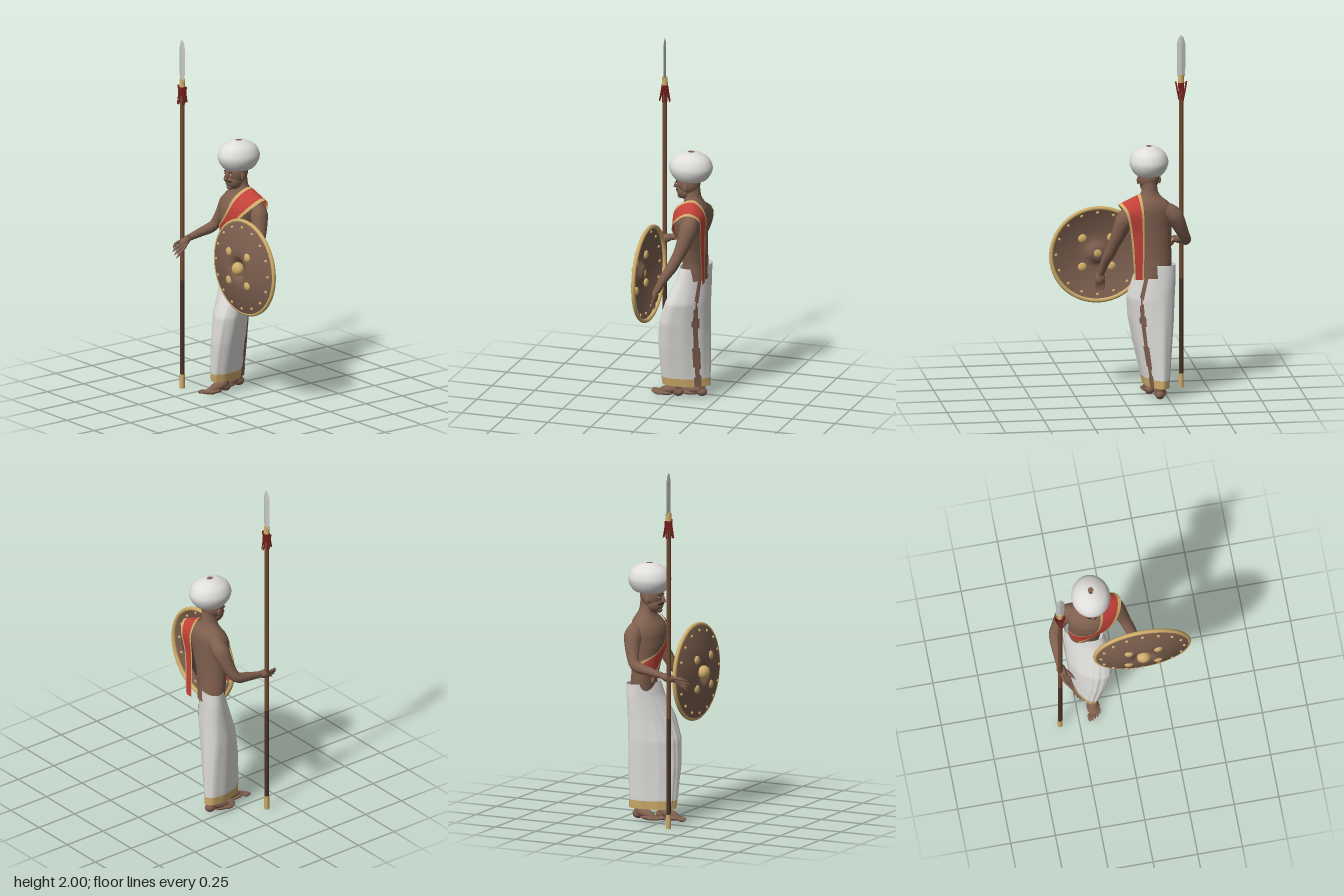
import * as THREE from 'three';

const V = (x, y, z) => new THREE.Vector3(x, y, z);
const mat = (name, color, side = THREE.FrontSide) => {
  const m = new THREE.MeshStandardMaterial({ color, side });
  m.name = name;
  return m;
};

// Elliptical cross-sections: [y, centre x, centre z, radius x, radius z]
const TORSO = [
  [0.70, -0.175, -0.13, 0.088, 0.066], [0.80, -0.175, -0.125, 0.092, 0.068], [0.88, -0.165, -0.118, 0.1, 0.076],
  [0.98, -0.15, -0.11, 0.12, 0.088], [1.05, -0.142, -0.113, 0.134, 0.09], [1.09, -0.14, -0.12, 0.13, 0.084],
  [1.12, -0.14, -0.127, 0.108, 0.07], [1.145, -0.143, -0.128, 0.072, 0.055], [1.17, -0.146, -0.122, 0.048, 0.046],
  [1.20, -0.146, -0.118, 0.042, 0.045], [1.26, -0.146, -0.112, 0.042, 0.045]];
const SKIRT = [
  [0.07, -0.187, -0.07, 0.066, 0.127], [0.13, -0.184, -0.067, 0.075, 0.131], [0.30, -0.17, -0.065, 0.1, 0.135],
  [0.45, -0.16, -0.07, 0.12, 0.13], [0.57, -0.155, -0.09, 0.127, 0.11], [0.70, -0.174, -0.118, 0.112, 0.083],
  [0.772, -0.18, -0.128, 0.104, 0.073]];

// Cross-section at a given height
function sectionAt(rows, y) {
  let i = 0;
  while (i < rows.length - 2 && y > rows[i + 1][0]) i++;
  const t = THREE.MathUtils.clamp((y - rows[i][0]) / (rows[i + 1][0] - rows[i][0]), 0, 1);
  return rows[i].map((v, k) => v + (rows[i + 1][k] - v) * t);
}

// Skin of stacked sections; lean slants the ellipse, pick chooses the material slot, ripple scales the radius
function loft(rows, levels, seg, lean = 0, pick = () => 0, ripple = () => 1, slots = 1) {
  const pos = [], lists = Array.from({ length: slots }, () => []);
  const y0 = rows[0][0], h = rows[rows.length - 1][0] - y0;
  for (let i = 0; i <= levels; i++) {
    const y = y0 + h * i / levels, [, cx, cz, rx, rz] = sectionAt(rows, y);
    for (let j = 0; j < seg; j++) {
      const a = j / seg * Math.PI * 2, r = ripple(a, y);
      pos.push(cx + Math.cos(a) * rx * r, y, cz + Math.sin(a + lean) * rz * r);
      if (i === levels) continue;
      const p = i * seg + j, q = i * seg + (j + 1) % seg;
      lists[pick((j + 0.5) / seg * Math.PI * 2, y + h * 0.5 / levels)].push(p, p + seg, q, p + seg, q + seg, q);
    }
  }
  const g = new THREE.BufferGeometry();
  g.setAttribute('position', new THREE.Float32BufferAttribute(pos, 3));
  g.setIndex(lists.flat());
  let start = 0;
  lists.forEach((l, k) => { g.addGroup(start, l.length, k); start += l.length; });
  g.computeVertexNormals();
  return g;
}

// Tube whose radius follows a list of values
function limb(points, radii, seg = 24, sides = 14) {
  const curve = new THREE.CatmullRomCurve3(points.map(p => V(...p)));
  const g = new THREE.TubeGeometry(curve, seg, 1, sides), a = g.attributes.position;
  for (let k = 0; k < a.count; k++) {
    const t = Math.floor(k / (sides + 1)) / seg, c = curve.getPointAt(t);
    const f = t * (radii.length - 1), i = Math.min(Math.floor(f), radii.length - 2);
    const p = V().fromBufferAttribute(a, k).sub(c).multiplyScalar(THREE.MathUtils.lerp(radii[i], radii[i + 1], f - i)).add(c);
    a.setXYZ(k, p.x, p.y, p.z);
  }
  g.computeVertexNormals();
  return g;
}

const profile = points => points.map(p => new THREE.Vector2(...p));

export function createModel() {
  const root = new THREE.Group();
  root.name = 'spearman';
  const D = THREE.DoubleSide;
  const skin = mat('skin', 0x80604f, D), white = mat('white cloth', 0xdfdedb, D), red = mat('red cloth', 0xc4423a, D);
  const gold = mat('gold', 0xcfad6a, D), leather = mat('shield leather', 0x7c5f4f, D), steel = mat('steel', 0xc6c8c4);
  const wood = mat('shaft wood', 0x724b33), darkWood = mat('dark shaft wood', 0x4a3428);
  const hair = mat('dark hair', 0x2c1c15), tassel = mat('tassel', 0x7d211d);

  const add = (name, geo, material, parent = root) => {
    const m = new THREE.Mesh(geo, material);
    m.name = name;
    parent.add(m);
    return m;
  };
  const group = name => { const g = new THREE.Group(); g.name = name; root.add(g); return g; };
  const ball = (name, material, p, s, parent = root, rot = [0, 0, 0]) => {
    const m = add(name, new THREE.SphereGeometry(1, 24, 16), material, parent);
    m.position.set(...p); m.scale.set(...s); m.rotation.set(...rot);
    return m;
  };
  const rod = (name, material, y0, y1, r0, r1, parent) => {
    const m = add(name, new THREE.CylinderGeometry(r1, r0, y1 - y0, 16), material, parent);
    m.position.y = (y0 + y1) / 2;
    return m;
  };

  // Spear
  const spear = group('spear');
  spear.position.set(-0.357, 0, 0.117);
  rod('ferrule', gold, 0, 0.08, 0.014, 0.014, spear);
  rod('lowerShaft', darkWood, 0.08, 0.62, 0.0125, 0.0125, spear);
  rod('upperShaft', wood, 0.62, 1.74, 0.0125, 0.0125, spear);
  rod('collar', gold, 1.73, 1.775, 0.017, 0.015, spear);
  const bladeGeo = new THREE.LatheGeometry(profile([[0.001, 1.76], [0.021, 1.762], [0.024, 1.83], [0.024, 1.95], [0.014, 1.985], [0.0005, 2]]), 4)
    .scale(1, 1, 0.3).toNonIndexed();
  bladeGeo.computeVertexNormals();
  add('blade', bladeGeo, steel, spear);
  rod('tasselKnot', tassel, 1.68, 1.73, 0.015, 0.018, spear);
  for (const s of [-1, 1]) for (const k of [-1, 1]) {
    add('tasselStrand', limb([[s * 0.03, 1.735, k * 0.005], [s * 0.02, 1.68, k * 0.007], [s * 0.011, 1.63, k * 0.008]], [0.004, 0.004, 0.003], 6, 6), tassel, spear);
    add('tasselStrand', limb([[k * 0.008, 1.73, s * 0.012], [k * 0.007, 1.68, s * 0.02], [k * 0.005, 1.635, s * 0.03]], [0.004, 0.004, 0.003], 6, 6), tassel, spear);
  }

  // Shield
  const shield = group('shield');
  shield.position.set(0.115, 0.79, 0);
  add('shieldBowl', new THREE.LatheGeometry(profile([[0.0005, 0.066], [0.03, 0.067], [0.045, 0.076], [0.06, 0.09], [0.08, 0.097], [0.12, 0.093],
    [0.18, 0.079], [0.26, 0.055], [0.262, 0.045]]), 64).rotateX(Math.PI / 2), leather, shield);
  add('shieldRim', new THREE.TorusGeometry(0.262, 0.0115, 12, 72), gold, shield).position.z = 0.045;
  ball('centreBoss', gold, [0, 0, 0.093], [0.038, 0.038, 0.032], shield);
  for (const x of [-1, 1]) for (const y of [-1, 1]) ball('boss', gold, [x * 0.081, y * 0.081, 0.091], [0.025, 0.025, 0.014], shield);
  for (let i = 0; i < 16; i++) {
    const a = i / 16 * Math.PI * 2;
    ball('rivet', gold, [Math.cos(a) * 0.232, Math.sin(a) * 0.232, 0.064], [0.009, 0.009, 0.008], shield);
  }

  // Body
  add('torso', loft(TORSO, 40, 40), skin);

  // Arms
  add('rightArm', limb([[-0.225, 1.085, -0.145], [-0.272, 1.05, -0.145], [-0.32, 0.96, -0.125], [-0.35, 0.895, -0.092], [-0.355, 0.872, -0.01], [-0.353, 0.855, 0.075]],
    [0.04, 0.05, 0.04, 0.031, 0.029, 0.023, 0.018]), skin);
  add('leftArm', limb([[-0.055, 1.085, -0.145], [-0.016, 1.05, -0.146], [0.028, 0.94, -0.122], [0.066, 0.83, -0.075], [0.09, 0.76, -0.032], [0.108, 0.69, 0.002]],
    [0.04, 0.051, 0.042, 0.033, 0.031, 0.025, 0.019]), skin);
  const rightHand = group('rightHand'), leftHand = group('leftHand');
  ball('palm', skin, [-0.346, 0.845, 0.107], [0.026, 0.024, 0.042], rightHand, [0.3, 0.3, 0]);
  for (let i = 0; i < 4; i++) add('finger', limb([[-0.352 + i * 0.012, 0.85 - i * 0.008, 0.125], [-0.34 + i * 0.012, 0.842 - i * 0.016, 0.175],
    [-0.31 + i * 0.004, 0.83 - i * 0.019, 0.225 - Math.abs(i - 1) * 0.01]], [0.009, 0.0085, 0.008, 0.001], 10, 8), skin, rightHand);
  add('thumb', limb([[-0.34, 0.845, 0.09], [-0.308, 0.835, 0.13], [-0.278, 0.82, 0.165]], [0.011, 0.01, 0.009, 0.001], 10, 8), skin, rightHand);
  ball('palm', skin, [0.11, 0.665, 0.01], [0.027, 0.038, 0.016], leftHand);
  for (let i = 0; i < 4; i++) add('finger', limb([[0.09 + i * 0.013, 0.65, 0.013], [0.09 + i * 0.013, 0.615, 0.022], [0.092 + i * 0.012, 0.59, 0.014]],
    [0.008, 0.008, 0.007, 0.001], 8, 8), skin, leftHand);

  // Legs and feet: [ankle x, ankle z, foot turn]
  for (const [side, x, z, turn] of [['left', -0.158, -0.022, -0.03], ['right', -0.2, -0.145, -0.15]]) {
    add(side + 'Leg', limb([[x, 0.62, -0.12], [x, 0.4, (z - 0.09) / 2], [x, 0.2, z - 0.005], [x, 0.03, z]], [0.06, 0.05, 0.042, 0.025, 0.026]), skin);
    const foot = group(side + 'Foot');
    foot.position.set(x, 0.018, z);
    foot.rotation.y = turn;
    ball('heel', skin, [0, 0.014, -0.008], [0.026, 0.026, 0.032], foot);
    ball('instep', skin, [0, 0.022, 0.04], [0.03, 0.025, 0.07], foot, [0.25, 0, 0]);
    ball('sole', skin, [0, 0.002, 0.07], [0.036, 0.015, 0.055], foot);
    const m = side === 'left' ? -1 : 1;
    for (let i = 0; i < 5; i++)
      ball('toe', skin, [m * (0.028 - i * 0.0145), 0, 0.133 - i * i * 0.0022], [i ? 0.0075 : 0.011, i ? 0.009 : 0.011, 0.024], foot);
  }

  // Wrapped lower garment with gold hem and a side opening
  add('wrapSkirt', loft(SKIRT, 60, 96, 0.42,
    (a, y) => Math.abs(a - 5.2) < 0.08 + 0.16 * Math.max(0, 0.62 - y) + 0.03 * Math.sin(y * 31) && y < 0.74 ? 2 : y < 0.115 ? 1 : 0,
    (a, y) => {
      const drop = THREE.MathUtils.clamp((0.77 - y) / 0.4, 0, 1);
      const pleat = Math.exp(-Math.pow((a - 1.5) / 0.7, 2));
      return 1 + drop * (0.014 * Math.sin(a * 9 + y * 2) + 0.022 * pleat * Math.sin(a * 20));
    }, 3), [white, gold, skin]);

  // Shoulder sash: inner and outer edges from the back tail over the left shoulder to the right hip
  const inner = new THREE.CatmullRomCurve3([[-0.1, 0.7, -0.207], [-0.105, 0.95, -0.207], [-0.1, 1.1, -0.208], [-0.092, 1.17, -0.145], [-0.1, 1.125, -0.045],
    [-0.13, 1.035, -0.01], [-0.2, 0.955, -0.03], [-0.28, 0.9, -0.1]].map(p => V(...p)));
  const outer = new THREE.CatmullRomCurve3([[-0.05, 0.7, -0.207], [-0.03, 0.95, -0.2], [0.0, 1.085, -0.203], [0.032, 1.118, -0.15], [0.012, 1.08, -0.082],
    [-0.05, 1.005, -0.03], [-0.135, 0.92, -0.03], [-0.215, 0.775, -0.055]].map(p => V(...p)));
  const onBody = p => {
    const [, cx, cz, rx, rz] = sectionAt(TORSO, p.y);
    const q = Math.hypot((p.x - cx) / (rx + 0.009), (p.z - cz) / (rz + 0.009));
    if (p.y < 1.09 && q < 1) { p.x = cx + (p.x - cx) / q; p.z = cz + (p.z - cz) / q; }
    return p;
  };
  const band = (from, to) => {
    const g = new THREE.PlaneGeometry(1, 1, 10, 64), a = g.attributes.position;
    for (let k = 0; k < a.count; k++) {
      const t = 0.5 - a.getY(k), w = from + (to - from) * (a.getX(k) + 0.5);
      const p = onBody(inner.getPoint(t).lerp(outer.getPoint(t), w));
      a.setXYZ(k, p.x, p.y, p.z);
    }
    g.computeVertexNormals();
    return g;
  };
  add('sashInnerTrim', band(0, 0.13), gold);
  add('sash', band(0.13, 0.84), red);
  add('sashOuterTrim', band(0.84, 1), gold);

  // Head
  const head = group('head');
  ball('skull', skin, [-0.145, 1.255, -0.095], [0.06, 0.07, 0.067], head);
  ball('jaw', skin, [-0.145, 1.212, -0.08], [0.048, 0.055, 0.052], head);
  ball('chin', skin, [-0.145, 1.175, -0.05], [0.02, 0.015, 0.017], head);
  ball('nose', skin, [-0.145, 1.237, -0.027], [0.01, 0.021, 0.014], head, [-0.35, 0, 0]);
  ball('noseTip', skin, [-0.145, 1.226, -0.02], [0.012, 0.008, 0.011], head);
  ball('mouth', leather, [-0.145, 1.199, -0.034], [0.016, 0.004, 0.007], head);
  for (const s of [-1, 1]) {
    const x = -0.145;
    ball('ear', skin, [x + s * 0.06, 1.238, -0.095], [0.007, 0.022, 0.014], head);
    ball('eye', white, [x + s * 0.022, 1.25, -0.036], [0.009, 0.004, 0.004], head);
    ball('pupil', hair, [x + s * 0.022, 1.25, -0.0335], [0.0035, 0.004, 0.003], head);
    ball('brow', hair, [x + s * 0.023, 1.264, -0.036], [0.014, 0.0022, 0.005], head, [0, s * 0.25, -s * 0.1]);
    add('moustache', limb([[x, 1.212, -0.028], [x + s * 0.015, 1.211, -0.031], [x + s * 0.028, 1.212, -0.038], [x + s * 0.035, 1.218, -0.044]],
      [0.003, 0.0045, 0.003, 0.001], 12, 8), hair, head);
  }

  // Turban with a small opening on the crown
  const turban = add('turban', new THREE.LatheGeometry(new THREE.SplineCurve(profile([[0.03, 1.278], [0.068, 1.274], [0.088, 1.292], [0.104, 1.325],
    [0.106, 1.357], [0.088, 1.397], [0.05, 1.424], [0.016, 1.434]])).getPoints(36), 56), white);
  turban.position.set(-0.143, 0, -0.11);
  turban.scale.z = 1.14;
  const crown = add('crown', new THREE.CircleGeometry(0.0165, 20).rotateX(-Math.PI / 2), skin);
  crown.position.set(-0.143, 1.4335, -0.116);

  return root;
}
